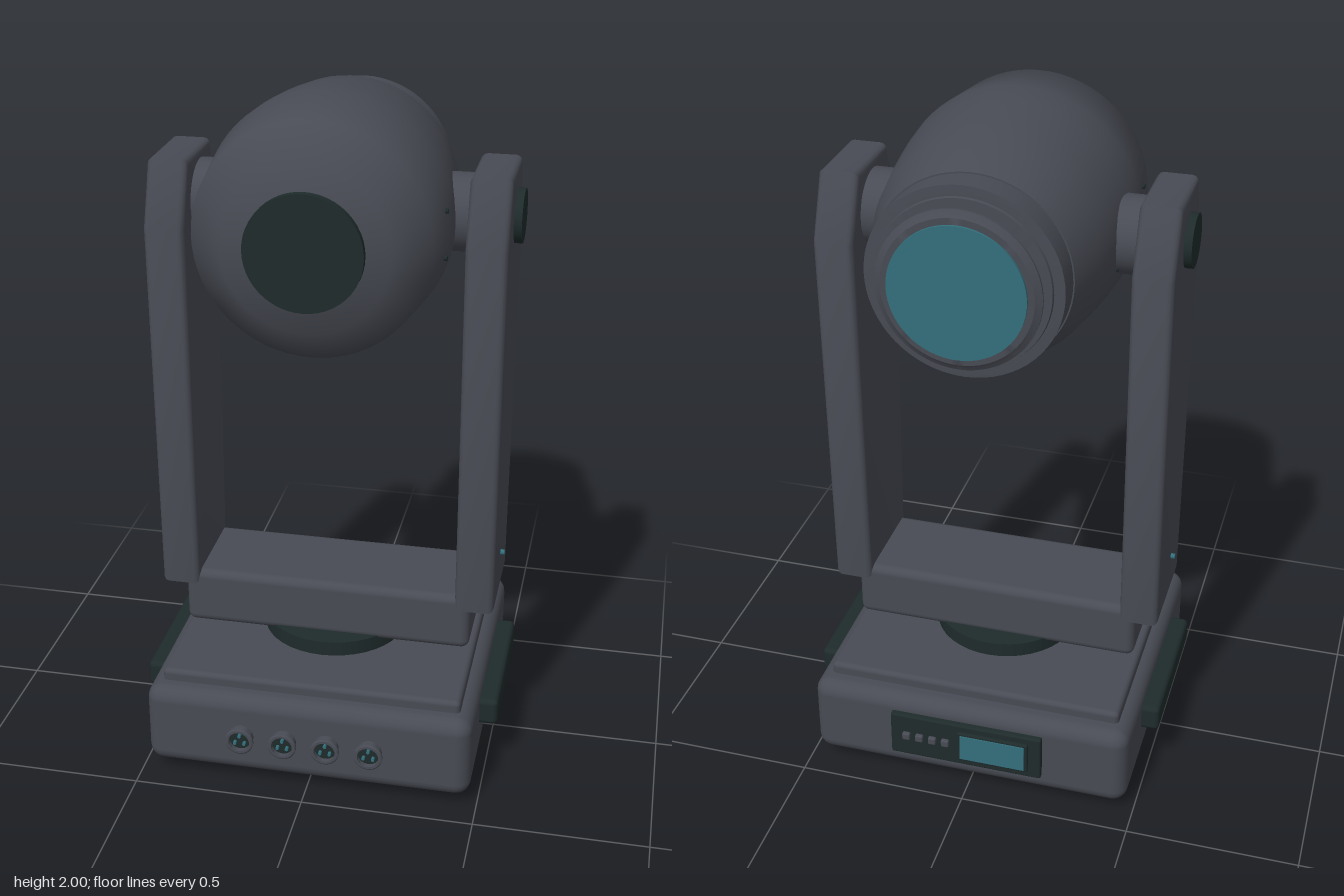
import * as THREE from 'three';
import { toCreasedNormals } from 'three/addons/utils/BufferGeometryUtils.js';
import { RoundedBoxGeometry } from 'three/addons/geometries/RoundedBoxGeometry.js';

const mat = (name, color) => {
  const m = new THREE.MeshStandardMaterial({ color });
  m.name = name;
  return m;
};

export function createModel() {
  const casing = mat('casing grey', 0x484b54);
  const dark = mat('dark rubber', 0x1f2b2b);
  const teal = mat('teal glass', 0x33707c);
  const root = new THREE.Group();
  root.name = 'movingHeadLight';

  const add = (name, geo, material, x = 0, y = 0, z = 0, parent = root) => {
    const m = new THREE.Mesh(geo, material);
    m.name = name;
    m.position.set(x, y, z);
    parent.add(m);
    return m;
  };
  const box = (w, h, d, r) => new RoundedBoxGeometry(w, h, d, 3, r);
  const cyl = (r, h, axis = 'y', seg = 40) => {
    const g = new THREE.CylinderGeometry(r, r, h, seg);
    if (axis === 'x') g.rotateZ(Math.PI / 2);
    if (axis === 'z') g.rotateX(Math.PI / 2);
    return g;
  };
  // Profile of [radius, z] pairs turned around the z axis
  const turned = (pts, crease = 0.9, seg = 64) => {
    const g = new THREE.LatheGeometry(pts.map(([r, z]) => new THREE.Vector2(r, z)), seg);
    g.rotateX(Math.PI / 2);
    return toCreasedNormals(g, crease);
  };

  // Base with stepped top and feet
  add('base', box(0.96, 0.255, 0.885, 0.045), casing, 0, 0.1625, 0);
  add('baseTopPlate', box(0.88, 0.07, 0.765, 0.015), casing, 0, 0.29, 0.002);
  for (const x of [-0.365, 0.365])
    for (const z of [-0.3, 0.305]) add('foot', cyl(0.045, 0.05, 'y', 24), dark, x, 0.025, z);
  add('turntable', cyl(0.215, 0.06), dark, 0, 0.34, 0);

  // Front sockets with rims and pins
  for (const x of [-0.19, -0.063, 0.063, 0.19]) {
    const socket = new THREE.Group();
    socket.name = 'socket';
    socket.position.set(x, 0.165, 0.44);
    root.add(socket);
    add('socketRim', turned([[0.036, 0], [0.036, 0.022], [0.042, 0.026], [0.042, 0.032],
      [0.038, 0.035], [0.031, 0.035], [0.031, 0.018]], 0.5, 28), casing, 0, 0, 0, socket);
    add('socketFace', cyl(0.032, 0.02, 'z', 24), dark, 0, 0, 0.01, socket);
    for (let i = 0; i < 3; i++) {
      const a = Math.PI / 2 + (i * Math.PI * 2) / 3;
      add('socketPin', cyl(0.005, 0.014, 'z', 10), teal,
        0.016 * Math.cos(a), 0.016 * Math.sin(a), 0.025, socket);
    }
  }

  // Rear control panel with screen and buttons
  add('controlPanel', box(0.46, 0.145, 0.03, 0.006), dark, 0, 0.17, -0.445);
  add('screenFrame', box(0.215, 0.1, 0.012, 0.004), dark, -0.085, 0.172, -0.464);
  add('screen', new THREE.BoxGeometry(0.195, 0.085, 0.008), teal, -0.085, 0.172, -0.469);
  for (let i = 0; i < 4; i++)
    add('button', box(0.024, 0.024, 0.016, 0.005), casing, 0.06 + i * 0.04, 0.172, -0.464);

  // Yoke: cross beam and two tapered arms
  add('yokeBeam', box(0.86, 0.175, 0.3, 0.025), casing, 0, 0.4425, 0);
  const bevel = 0.018;
  const outline = new THREE.Shape([
    [-0.157, 0.49], [0.157, 0.49], [0.186, 1.61], [0.112, 1.79], [-0.125, 1.79], [-0.19, 1.61],
  ].map(([s, y]) => new THREE.Vector2(s, y)));
  const armGeo = toCreasedNormals(new THREE.ExtrudeGeometry(outline, {
    depth: 0.115 - 2 * bevel, bevelEnabled: true, bevelSize: bevel, bevelThickness: bevel,
    bevelOffset: -bevel, bevelSegments: 3,
  }).translate(0, 0, -(0.115 - 2 * bevel) / 2).rotateY(Math.PI / 2), 0.6);

  for (const s of [-1, 1]) {
    add('yokeArm', armGeo, casing, s * 0.4425, 0, 0);
    add('pivot', cyl(0.108, 0.16, 'x'), casing, s * 0.33, 1.655, 0);
    add('pivotCap', cyl(0.075, 0.03, 'x'), dark, s * 0.507, 1.655, 0.003);
    add('armIndicator', cyl(0.008, 0.02, 'x', 12), teal, s * 0.502, 0.625, 0.02);
    add('handle', box(0.08, 0.082, 0.47, 0.015), dark, s * 0.493, 0.203, 0.003);
    for (const [z, x] of [[0.19, 0.33], [-0.08, 0.32]])
      for (const dy of [-0.065, 0.065])
        add('headScrew', cyl(0.007, 0.02, 'x', 10), dark, s * x, 1.65 + dy, z);
  }

  // Head: barrel, rear cap and lens assembly
  const head = new THREE.Group();
  head.name = 'head';
  head.position.y = 1.65;
  root.add(head);
  add('headShell', turned([[0, -0.335], [0.272, -0.335], [0.312, -0.215], [0.332, -0.08],
    [0.343, 0.02], [0.348, 0.11], [0.322, 0.325], [0.225, 0.405], [0, 0.405]]), casing, 0, 0, 0, head);
  add('headCap', cyl(0.16, 0.03, 'z', 48), dark, 0, 0, 0.41, head);
  add('headCollar', turned([[0, -0.42], [0.236, -0.42], [0.238, -0.412], [0.267, -0.41],
    [0.268, -0.33], [0, -0.33]], 0.5), casing, 0, 0, 0, head);
  add('lensBezel', turned([[0, -0.468], [0.203, -0.468], [0.21, -0.463], [0.221, -0.457],
    [0.221, -0.45], [0.213, -0.446], [0, -0.446]], 0.5), casing, 0, 0, 0, head);
  add('lens', cyl(0.185, 0.009, 'z', 64), teal, 0, 0, -0.471, head);
  return root;
}
